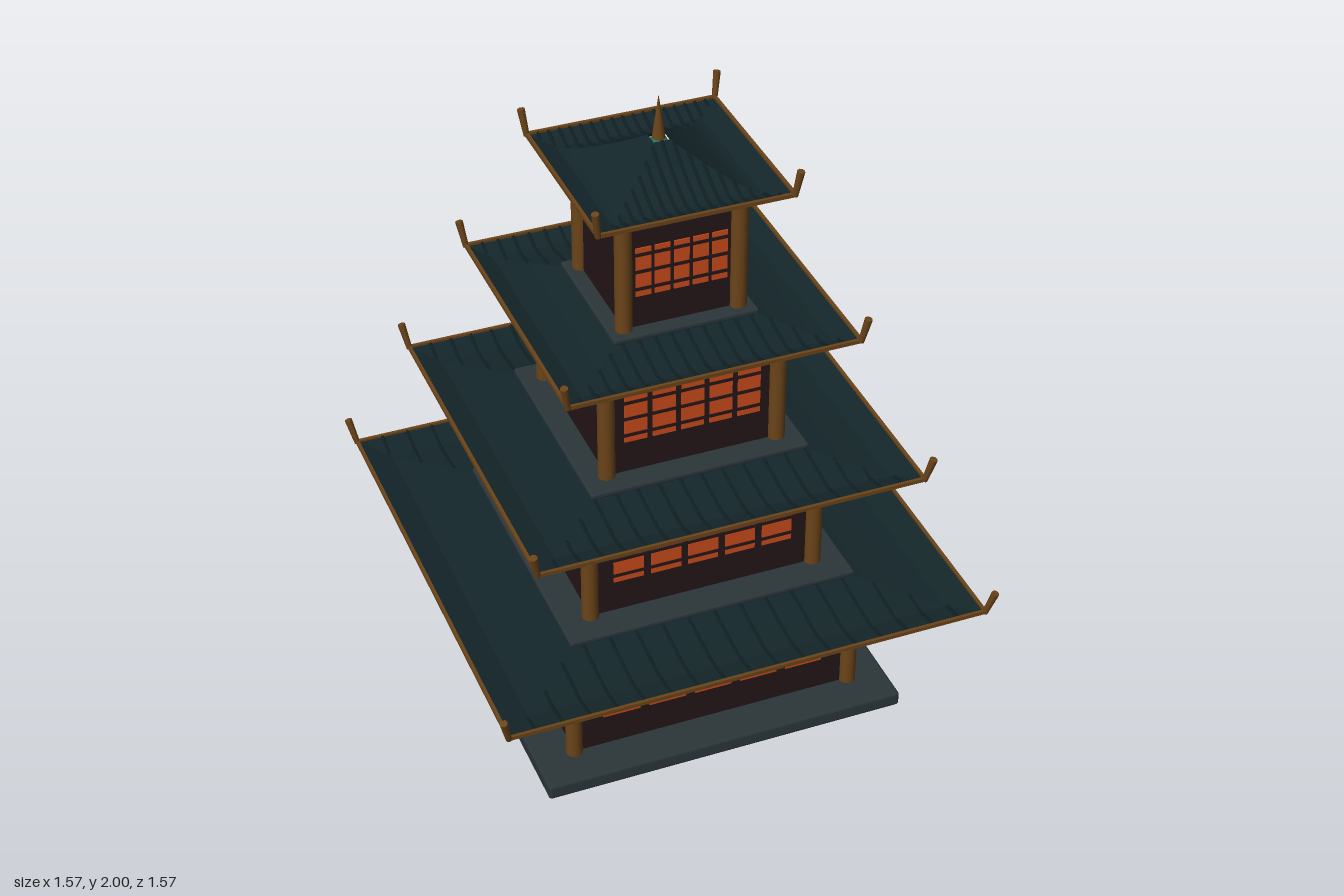
import * as THREE from 'three';
import { RoundedBoxGeometry } from 'three/addons/geometries/RoundedBoxGeometry.js';

const mat = (color, extra = {}) => new THREE.MeshStandardMaterial({ color, ...extra });
const stone = mat(0x2b363a);
const wood = mat(0x6b4419);
const plaster = mat(0x241417);
const glow = mat(0xc84a1a);
const tile = mat(0x14262a, { flatShading: true, side: THREE.DoubleSide });
const ridgeMat = mat(0x102024);
const jade = mat(0x1f7a60);

// Each storey: floor height, column spacing (half), and the roof above it
const TIERS = [
  { y: 0.05, half: 0.455, roof: { R: 0.755, inner: 0.40, top: 0.476, low: 0.442, eave: 0.465 }, ledge: 0.46 },
  { y: 0.485, half: 0.362, roof: { R: 0.602, inner: 0.29, top: 0.912, low: 0.877, eave: 0.9 }, ledge: 0.345 },
  { y: 0.92, half: 0.27, roof: { R: 0.448, inner: 0.195, top: 1.35, low: 1.312, eave: 1.335 }, ledge: 0.225 },
  { y: 1.355, half: 0.178, roof: { R: 0.295, inner: 0.024, top: 1.862, low: 1.75, eave: 1.773 } },
];
const WALL_H = 0.328, COLUMN_H = 0.358;
const CORNERS = [[1, 1], [1, -1], [-1, 1], [-1, -1]];

function add(parent, name, geometry, material, x = 0, y = 0, z = 0) {
  const mesh = new THREE.Mesh(geometry, material);
  mesh.name = name;
  mesh.position.set(x, y, z);
  parent.add(mesh);
  return mesh;
}

// Straight rod between two points
function rod(parent, name, a, b, r0, r1, material) {
  const dir = b.clone().sub(a);
  const mesh = add(parent, name, new THREE.CylinderGeometry(r1, r0, dir.length(), 8), material);
  mesh.position.copy(a).add(b).multiplyScalar(0.5);
  mesh.quaternion.setFromUnitVectors(new THREE.Vector3(0, 1, 0), dir.normalize());
}

// Roof height at distance r from the axis: concave slope, then an upturned eave
function roofHeight({ R, inner, top, low, eave }, r) {
  const dip = inner + (R - inner) * 0.74;
  return r < dip
    ? low + (top - low) * Math.pow(1 - (r - inner) / (dip - inner), 1.35)
    : low + (eave - low) * (r - dip) / (R - dip);
}

function makeWindows(parent, half, y) {
  const h = 0.162, w = half * 0.265;
  for (const side of [1, -1]) {
    for (let i = -2; i <= 2; i++) {
      const x = i * half * 0.33;
      add(parent, 'windowPane', new THREE.BoxGeometry(w, h, 0.008), glow, x, y + 0.19, side * half);
      for (const f of [0.13, 0.48, 0.84])
        add(parent, 'windowBar', new THREE.BoxGeometry(w + 0.006, 0.01, 0.014), plaster,
          x, y + 0.19 + (0.5 - f) * h, side * half);
    }
  }
}

function makeRoof(p) {
  const roof = new THREE.Group();
  roof.name = 'roof';
  const { R, inner, eave } = p;

  // Four-sided shell
  const profile = [];
  for (let i = 0; i <= 12; i++) {
    const r = R + (inner - R) * i / 12;
    profile.push(new THREE.Vector2(r * Math.SQRT2, roofHeight(p, r)));
  }
  add(roof, 'roofShell', new THREE.LatheGeometry(profile, 4, Math.PI / 4), tile);

  // Tile ridges on the front and back slopes, stopping at the hips
  for (const side of [1, -1]) {
    for (let i = -8; i <= 8; i++) {
      const x = i * R / 9, start = Math.max(inner, Math.abs(x)), pts = [];
      for (let k = 0; k <= 6; k++) {
        const r = start + (R - start) * k / 6;
        pts.push(new THREE.Vector3(x, roofHeight(p, r) + 0.001, side * r));
      }
      add(roof, 'tileRidge',
        new THREE.TubeGeometry(new THREE.CatmullRomCurve3(pts), 12, 0.005, 6), ridgeMat);
    }
  }

  // Eave trim and upturned corner horns
  for (const s of [1, -1]) {
    add(roof, 'eaveTrim', new THREE.BoxGeometry(2 * R + 0.01, 0.012, 0.01), wood, 0, eave, s * R);
    add(roof, 'eaveTrim', new THREE.BoxGeometry(0.01, 0.012, 2 * R + 0.01), wood, s * R, eave, 0);
  }
  const lean = 0.006 + R * 0.018;
  for (const [sx, sz] of CORNERS)
    rod(roof, 'cornerHorn', new THREE.Vector3(sx * R, eave - 0.004, sz * R),
      new THREE.Vector3(sx * (R + lean), eave + 0.08, sz * (R + lean)), 0.009, 0.012, wood);
  return roof;
}

export function createModel() {
  const model = new THREE.Group();
  model.name = 'pagoda';
  add(model, 'foundation', new RoundedBoxGeometry(1.16, 0.05, 1.16, 2, 0.01), stone, 0, 0.025, 0);

  for (const { y, half, roof, ledge } of TIERS) {
    const storey = new THREE.Group();
    storey.name = 'storey';
    model.add(storey);
    const w = 2 * half;
    add(storey, 'walls', new THREE.BoxGeometry(w, WALL_H, w), plaster, 0, y + WALL_H / 2, 0);
    makeWindows(storey, half, y);
    for (const [sx, sz] of CORNERS)
      add(storey, 'column', new THREE.CylinderGeometry(0.026, 0.026, COLUMN_H, 16), wood,
        sx * half, y + COLUMN_H / 2, sz * half);
    storey.add(makeRoof(roof));
    // Stone ledge carrying the next storey
    if (ledge)
      add(storey, 'ledge', new RoundedBoxGeometry(2 * ledge, 0.018, 2 * ledge, 2, 0.006), stone,
        0, roof.top + 0.001, 0);
  }

  // Finial
  add(model, 'finialBall', new THREE.SphereGeometry(0.028, 20, 14), jade, 0, 1.842, 0);
  add(model, 'finialSpire', new THREE.ConeGeometry(0.02, 0.14, 16), wood, 0, 1.93, 0);
  return model;
}
